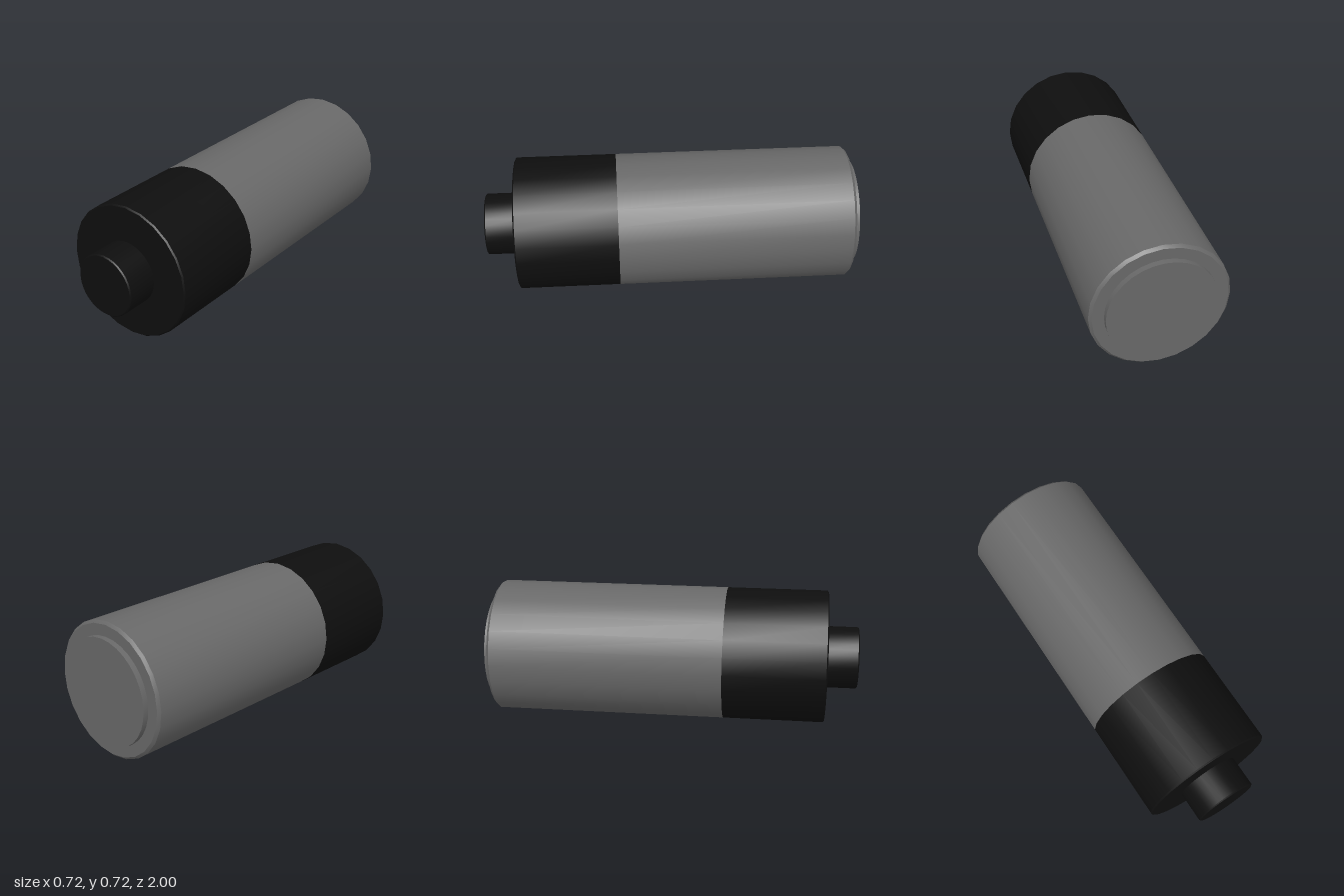
import * as THREE from 'three';
import { toCreasedNormals } from 'three/addons/utils/BufferGeometryUtils.js';

export function createModel() {
  const group = new THREE.Group();
  group.name = 'battery';
  const grey = new THREE.MeshStandardMaterial({ color: 0x686868 });
  grey.name = 'grey casing';
  const black = new THREE.MeshStandardMaterial({ color: 0x0e0e0e });
  black.name = 'black casing';

  const R = 0.36, axisY = 0.363, bevel = 0.014;

  // Turned part along z; profile is [radius, z] from back to front
  function turned(name, material, profile, sides) {
    const points = profile.map(([r, z]) => new THREE.Vector2(r, z));
    const lathe = new THREE.LatheGeometry(points, sides).rotateX(Math.PI / 2);
    const mesh = new THREE.Mesh(toCreasedNormals(lathe, Math.PI / 6), material);
    mesh.name = name;
    mesh.position.y = axisY;
    group.add(mesh);
  }

  // Grey sleeve with a bevelled back rim
  turned('greySleeve', grey, [[0, -0.97], [R - bevel, -0.97], [R, -0.97 + bevel], [R, 0.285]], 24);

  // Black sleeve with a bevelled front rim
  turned('blackSleeve', black, [[R, 0.285], [R, 0.83 - bevel / 2], [R - bevel / 2, 0.83], [0, 0.83]], 24);

  // Raised flat contact at the back
  turned('backContact', grey, [[0, -1], [0.285, -1], [0.285, -0.96]], 32);

  // Terminal button at the front
  turned('frontTerminal', black, [[0.167, 0.82], [0.167, 0.994], [0.161, 1], [0, 1]], 32);

  return group;
}
